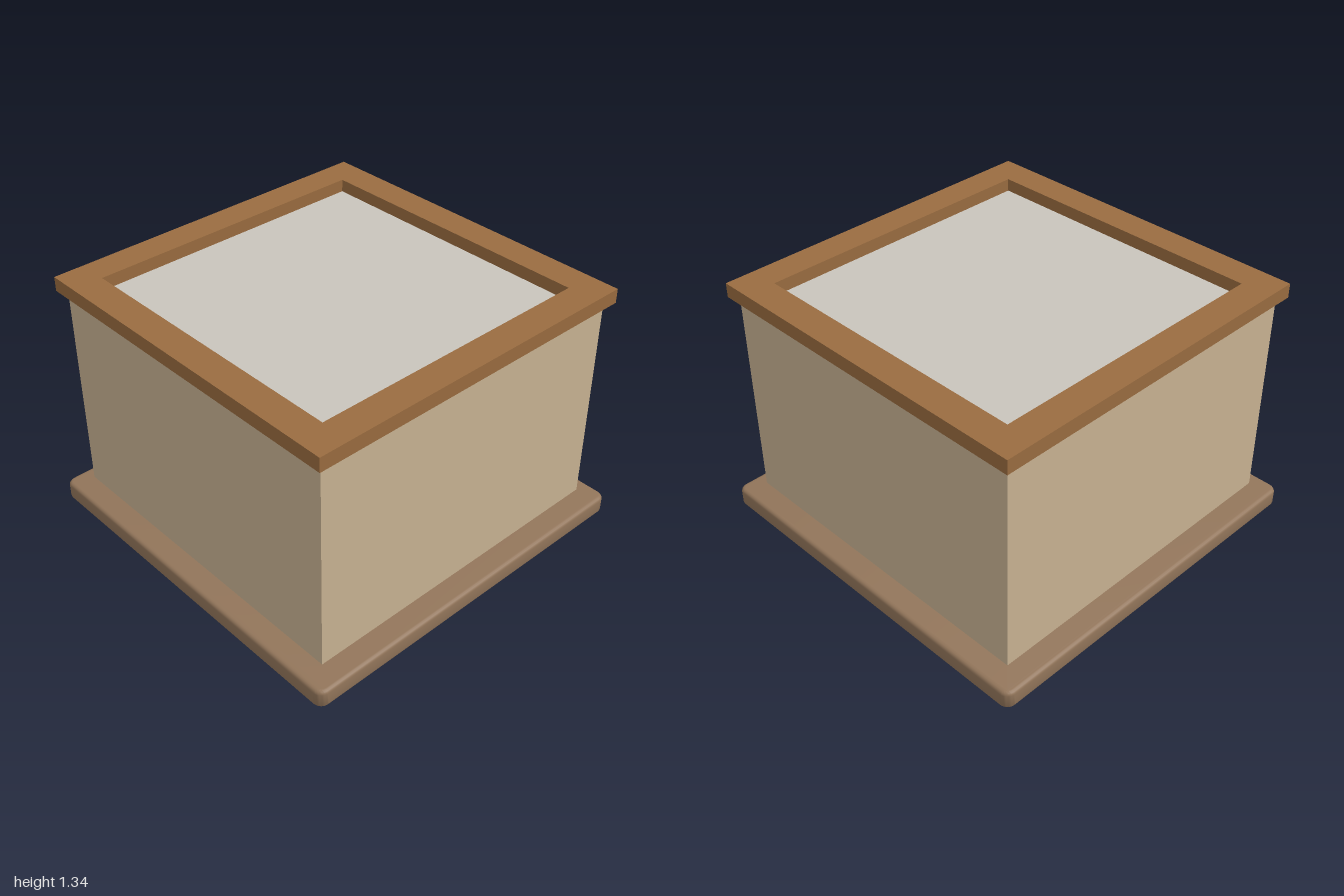
import * as THREE from 'three';
import { toCreasedNormals } from 'three/addons/utils/BufferGeometryUtils.js';

const material = (name, color) => {
  const m = new THREE.MeshStandardMaterial({ color });
  m.name = name;
  return m;
};

// Square outline with optional rounded corners
function square(half, r = 0) {
  const s = new THREE.Shape();
  if (r === 0) {
    s.moveTo(-half, -half).lineTo(half, -half).lineTo(half, half).lineTo(-half, half).closePath();
    return s;
  }
  const k = half - r;
  for (let i = 0; i < 4; i++) {
    const a = i * Math.PI / 2;
    const cx = (i === 0 || i === 3) ? k : -k;
    const cy = i < 2 ? k : -k;
    s.absarc(cx, cy, r, a, a + Math.PI / 2, false);
  }
  s.closePath();
  return s;
}

export function createModel() {
  const group = new THREE.Group();
  const baseWood = material('base brown', 0x92755a);
  const plinthWood = material('plinth dark brown', 0x785c38);
  const wall = material('wall tan', 0xc9b393);
  const rimWood = material('rim brown', 0x9a6c40);
  const panelGrey = material('panel grey', 0xc9c4bc);

  const add = (name, geometry, mat, y) => {
    const mesh = new THREE.Mesh(geometry, mat);
    mesh.name = name;
    mesh.position.y = y;
    group.add(mesh);
  };

  // Base slab with softened edges
  const bevel = 0.02;
  const slab = new THREE.ExtrudeGeometry(square(1 - bevel, 0.03), {
    depth: 0.1 - 2 * bevel, bevelEnabled: true, bevelSize: bevel,
    bevelThickness: bevel, bevelSegments: 4, curveSegments: 6,
  });
  slab.rotateX(-Math.PI / 2);
  add('base', toCreasedNormals(slab, 0.7), baseWood, bevel);

  // Recessed plinth and main body
  add('plinth', new THREE.BoxGeometry(1.69, 0.03, 1.69), plinthWood, 0.115);
  add('body', new THREE.BoxGeometry(1.78, 1.13, 1.78), wall, 0.695);

  // Top rim: square frame with an opening
  const frame = square(0.93);
  frame.holes.push(square(0.77));
  const rim = new THREE.ExtrudeGeometry(frame, { depth: 0.075, bevelEnabled: false });
  rim.rotateX(-Math.PI / 2);
  add('rim', rim, rimWood, 1.26);

  // Inset panel inside the rim
  add('topPanel', new THREE.BoxGeometry(1.54, 0.008, 1.54), panelGrey, 1.264);

  return group;
}
